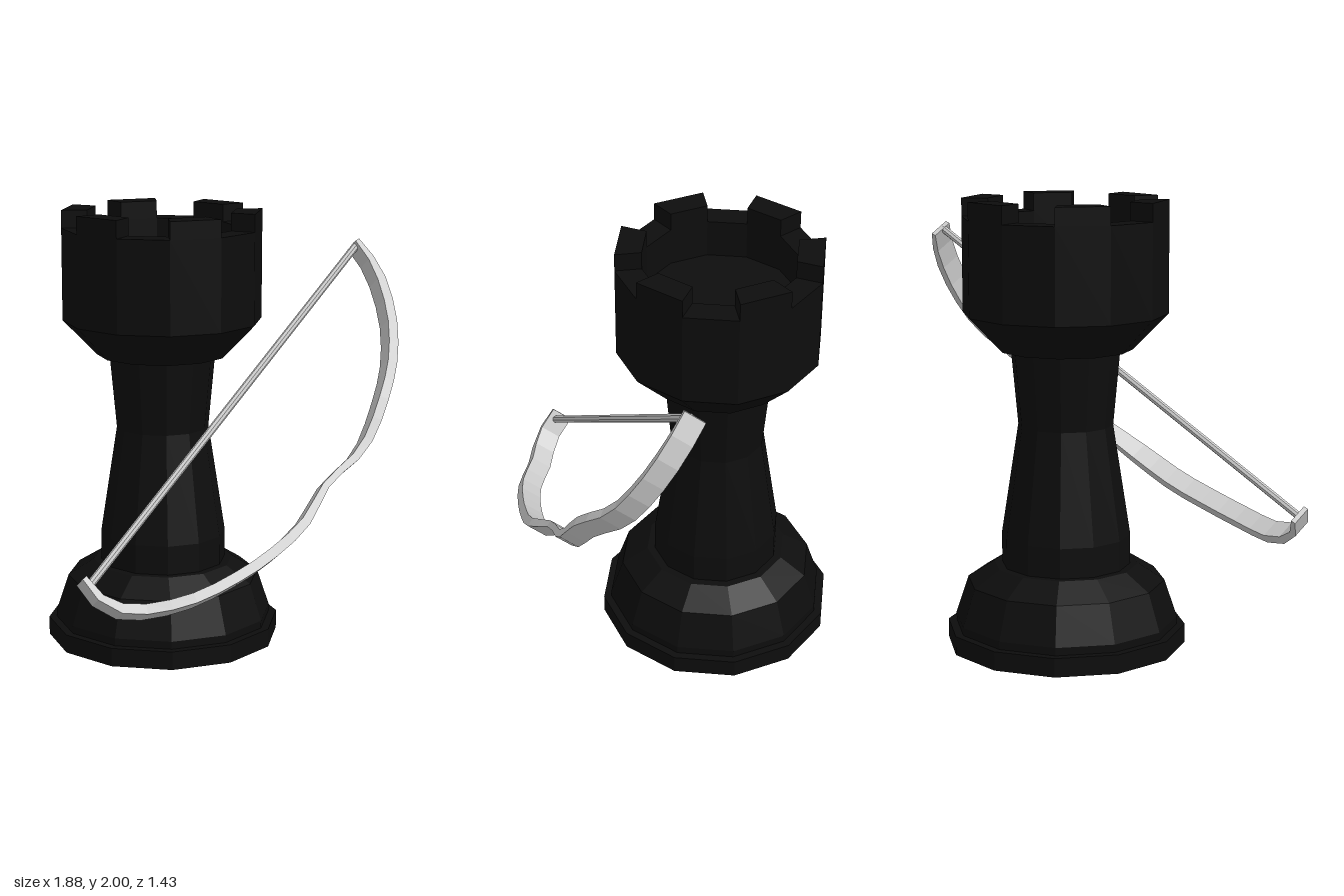
import * as THREE from 'three';

const SIDES = 12;
const HALF = Math.PI / SIDES;
const dark = new THREE.MeshStandardMaterial({ color: 0x0d0d0d, flatShading: true });
const grey = new THREE.MeshStandardMaterial({ color: 0xcccccc, flatShading: true });

function addMesh(parent, name, geometry, material) {
  const mesh = new THREE.Mesh(geometry, material);
  mesh.name = name;
  parent.add(mesh);
  return mesh;
}

// Twelve-sided turning, flat sides facing the axes; radii measured to the flats
function turned(profile) {
  const pts = profile.map(([r, y]) => new THREE.Vector2(r / Math.cos(HALF), y));
  return new THREE.LatheGeometry(pts, SIDES, HALF);
}

// One wall block filling a single side of the twelve-sided rim
function merlonGeometry(inner, outer, height) {
  const t = Math.tan(HALF);
  const shape = new THREE.Shape([
    new THREE.Vector2(inner, -inner * t), new THREE.Vector2(outer, -outer * t),
    new THREE.Vector2(outer, outer * t), new THREE.Vector2(inner, inner * t),
  ]);
  return new THREE.ExtrudeGeometry(shape, { depth: height, bevelEnabled: false }).rotateX(-Math.PI / 2);
}

// Rectangular band swept along a curve, its width held along a fixed axis
function bandGeometry(curve, axis, steps, sizeAt) {
  const pos = [], index = [];
  for (let i = 0; i <= steps; i++) {
    const u = i / steps;
    const p = curve.getPointAt(u);
    const b = curve.getTangentAt(u).cross(axis).normalize();
    const [w, t] = sizeAt(u);
    for (const [sn, sb] of [[1, 1], [-1, 1], [-1, -1], [1, -1]]) {
      const v = p.clone().addScaledVector(axis, sn * w / 2).addScaledVector(b, sb * t / 2);
      pos.push(v.x, v.y, v.z);
    }
    if (i === steps) break;
    for (let j = 0; j < 4; j++) {
      const a = i * 4 + j, c = i * 4 + (j + 1) % 4;
      index.push(a, c, c + 4, a, c + 4, a + 4);
    }
  }
  const e = steps * 4;
  index.push(0, 2, 1, 0, 3, 2, e, e + 1, e + 2, e, e + 2, e + 3);
  const g = new THREE.BufferGeometry();
  g.setAttribute('position', new THREE.Float32BufferAttribute(pos, 3));
  g.setIndex(index);
  g.computeVertexNormals();
  return g;
}

function createTower() {
  const tower = new THREE.Group();
  tower.name = 'tower';
  addMesh(tower, 'base', turned([
    [0, 0], [0.52, 0], [0.52, 0.085], [0.485, 0.085], [0.485, 0.12],
    [0.43, 0.29], [0.315, 0.365], [0, 0.365],
  ]), dark);
  addMesh(tower, 'column', turned([[0.28, 0.365], [0.28, 0.5], [0.205, 1.0], [0.235, 1.34]]), dark);
  // Head with a sunken floor inside the rim
  addMesh(tower, 'head', turned([
    [0, 1.34], [0.29, 1.34], [0.44, 1.5], [0.44, 1.92], [0.327, 1.92], [0.327, 1.75], [0, 1.75],
  ]), dark);
  const merlon = merlonGeometry(0.327, 0.44, 0.08);
  for (let i = 0; i < 6; i++) {
    const m = addMesh(tower, 'merlon', merlon, dark);
    m.position.y = 1.92;
    m.rotation.y = i * Math.PI / 3;
  }
  tower.position.set(0.07, 0, -0.195);
  return tower;
}

function createBow() {
  const bow = new THREE.Group();
  bow.name = 'bow';
  // Limbs curving forward and down, with a slight dip at the grip
  const path = new THREE.CatmullRomCurve3([
    [-0.91, 0.57, 0.2], [-0.875, 0.47, 0.3], [-0.76, 0.43, 0.375], [-0.57, 0.455, 0.5],
    [-0.37, 0.515, 0.575], [-0.2, 0.58, 0.62], [0, 0.69, 0.66], [0.2, 0.83, 0.64],
    [0.42, 0.95, 0.67], [0.61, 1.16, 0.65], [0.78, 1.32, 0.575], [0.87, 1.49, 0.495],
    [0.905, 1.68, 0.385], [0.88, 1.8, 0.29],
  ].map((p) => new THREE.Vector3(...p)));
  const across = new THREE.Vector3(0.413, -0.544, -0.741).normalize();
  const size = (u) => {
    const grip = Math.exp(-(((u - 0.52) / 0.08) ** 2));
    const tip = Math.min(1, 6 * Math.min(u, 1 - u) + 0.5);
    return [0.1 - 0.025 * grip, (0.045 - 0.015 * grip) * tip];
  };
  addMesh(bow, 'bowLimbs', bandGeometry(path, across, 26, size), grey);

  // String stretched between the tips
  const a = new THREE.Vector3(-0.905, 0.55, 0.235);
  const b = new THREE.Vector3(0.88, 1.8, 0.31);
  const string = addMesh(bow, 'bowString', new THREE.CylinderGeometry(0.018, 0.018, a.distanceTo(b), 8), grey);
  string.position.lerpVectors(a, b, 0.5);
  string.quaternion.setFromUnitVectors(new THREE.Vector3(0, 1, 0), b.clone().sub(a).normalize());
  return bow;
}

export function createModel() {
  const model = new THREE.Group();
  model.name = 'towerWithBow';
  model.add(createTower(), createBow());
  return model;
}
